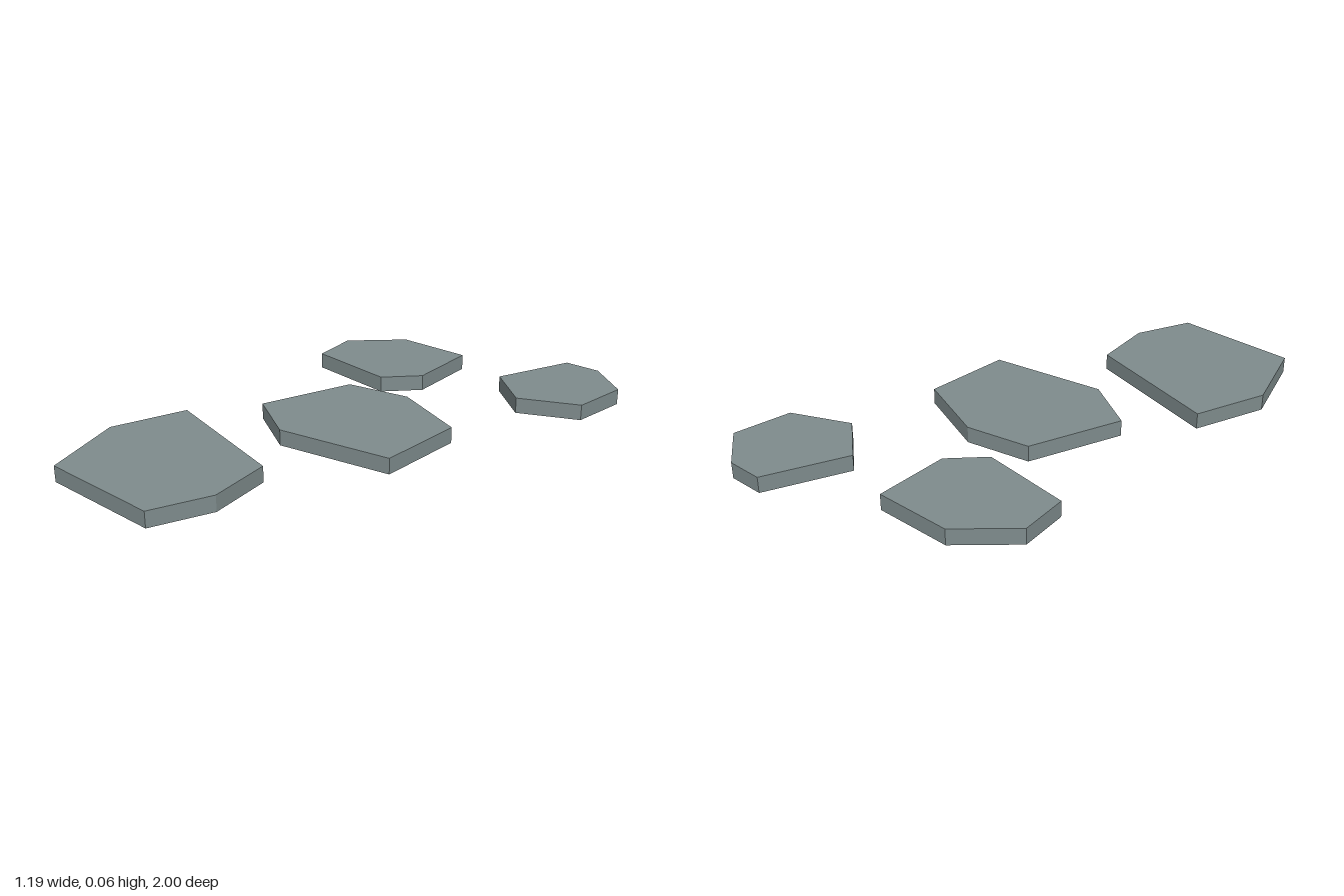
import * as THREE from 'three';

const HEIGHT = 0.062;

// Outline corners of each slab as [x, z]
const SLABS = {
  frontStone: [[-0.508, 0.385], [0.05, 0.525], [0.09, 0.775], [0.005, 1], [-0.48, 1], [-0.597, 0.675]],
  middleStone: [[-0.225, -0.215], [0.025, -0.27], [0.33, -0.157], [0.33, 0.192], [-0.12, 0.278], [-0.341, 0.152]],
  backRightStone: [[-0.39, -0.76], [-0.09, -0.773], [-0.069, -0.48], [-0.182, -0.355], [-0.543, -0.389], [-0.57, -0.58]],
  backLeftStone: [[0.284, -0.993], [0.427, -1], [0.593, -0.88], [0.571, -0.65], [0.346, -0.541], [0.167, -0.68]],
};

export function createModel() {
  const group = new THREE.Group();
  group.name = 'steppingStones';
  const stone = new THREE.MeshStandardMaterial({ color: 0x7f8c8d });
  stone.name = 'stoneGrey';

  // Each stone is a flat irregular hexagon lying on the ground
  for (const [name, corners] of Object.entries(SLABS)) {
    const shape = new THREE.Shape(corners.map(([x, z]) => new THREE.Vector2(x, -z)));
    const geometry = new THREE.ExtrudeGeometry(shape, { depth: HEIGHT, bevelEnabled: false });
    geometry.rotateX(-Math.PI / 2);
    const mesh = new THREE.Mesh(geometry, stone);
    mesh.name = name;
    group.add(mesh);
  }
  return group;
}
